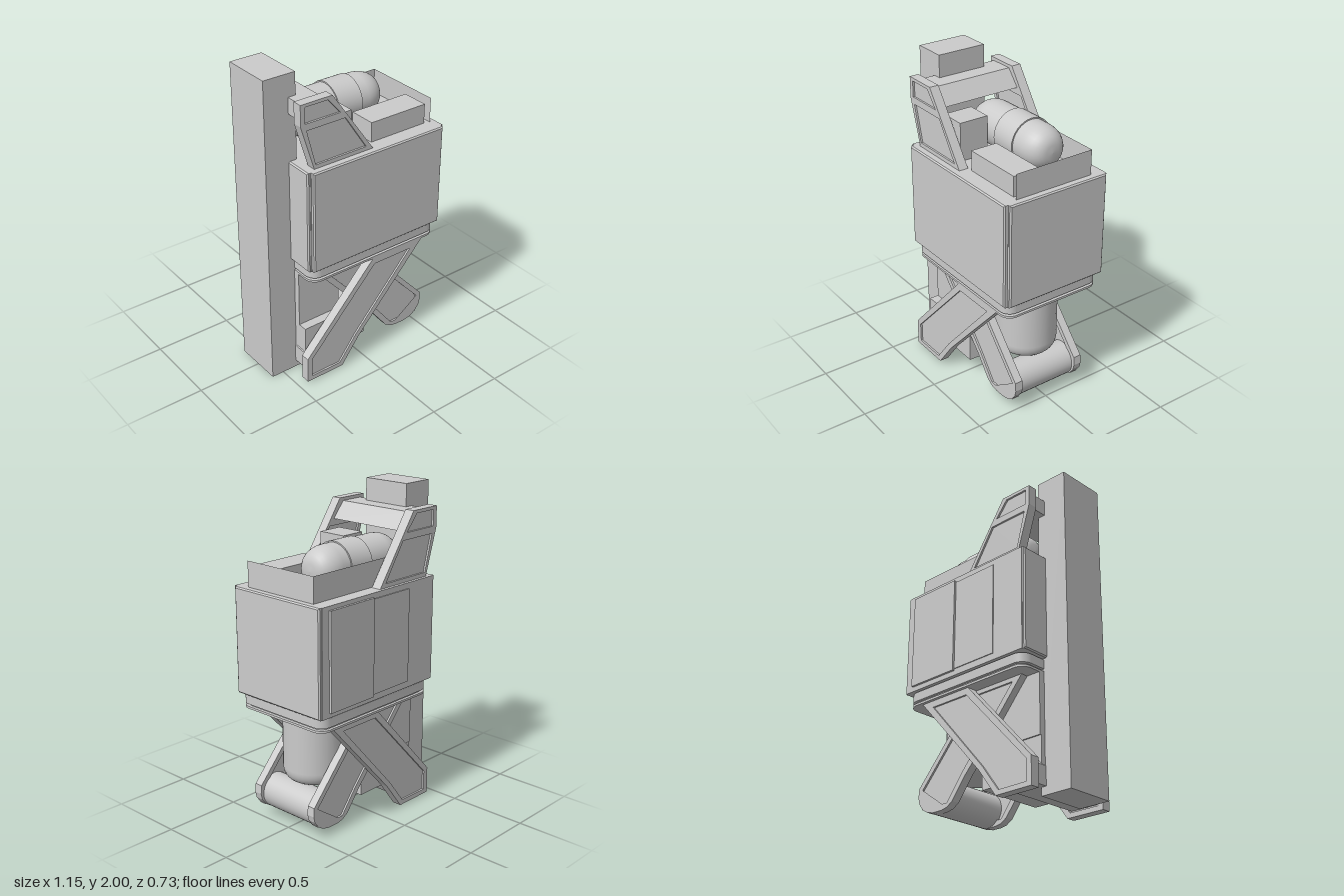
import * as THREE from 'three';
import { toCreasedNormals } from 'three/addons/utils/BufferGeometryUtils.js';

const grey = new THREE.MeshStandardMaterial({ color: 0xcccccc });
const thin = new THREE.MeshStandardMaterial({ color: 0xcccccc, side: THREE.DoubleSide });
const points = (list) => list.map(([x, y]) => new THREE.Vector2(x, y));

export function createModel() {
  const model = new THREE.Group();
  model.name = 'machineUnit';

  const add = (name, geometry, material = grey) => {
    const mesh = new THREE.Mesh(geometry, material);
    mesh.name = name;
    model.add(mesh);
    return mesh;
  };

  // Box given by its limits on each axis
  const box = (name, [x0, x1], [y0, y1], [z0, z1]) => {
    const mesh = add(name, new THREE.BoxGeometry(x1 - x0, y1 - y0, z1 - z0));
    mesh.position.set((x0 + x1) / 2, (y0 + y1) / 2, (z0 + z1) / 2);
    return mesh;
  };

  // Outline in x and y, extruded between two z values
  const slab = (name, outline, z0, z1, holes = []) => {
    const shape = new THREE.Shape(points(outline));
    holes.forEach((h) => shape.holes.push(new THREE.Path(points(h))));
    const geometry = new THREE.ExtrudeGeometry(shape, { depth: z1 - z0, bevelEnabled: false });
    geometry.translate(0, 0, z0);
    return add(name, geometry);
  };

  // Plate with a raised rim around sunken panels
  const framedPlate = (name, outline, panels, z0, z1) => {
    slab(name + 'Rim', outline, z0, z1, panels);
    panels.forEach((p) => slab(name + 'Panel', p, z0 + 0.012, z1 - 0.012));
  };

  // Horizontal layer with rounded corners
  const layer = (name, [x0, x1], [y0, y1], [z0, z1], r) => {
    const s = new THREE.Shape();
    s.absarc(x1 - r, z1 - r, r, 0, Math.PI / 2);
    s.absarc(x0 + r, z1 - r, r, Math.PI / 2, Math.PI);
    s.absarc(x0 + r, z0 + r, r, Math.PI, Math.PI * 1.5);
    s.absarc(x1 - r, z0 + r, r, Math.PI * 1.5, Math.PI * 2);
    const g = new THREE.ExtrudeGeometry(s, { depth: y1 - y0, bevelEnabled: false, curveSegments: 5 });
    g.rotateX(Math.PI / 2).translate(0, y1, 0);
    add(name, toCreasedNormals(g, 0.6));
  };

  // Cabinet panel with chamfered edges on its outer face, built facing +z
  const panel = (name, width, height, depth) => {
    const c = 0.008;
    const w = width / 2 - c, h = height / 2 - c;
    const shape = new THREE.Shape(points([[-w, -h], [w, -h], [w, h], [-w, h]]));
    return add(name, new THREE.ExtrudeGeometry(shape, {
      depth: depth - c, bevelThickness: c, bevelSize: c, bevelSegments: 1,
    }));
  };

  // Support post
  box('post', [-0.58, -0.37], [0, 2], [-0.16, 0.16]);

  // Cabinet and its outer panels
  box('cabinetBody', [-0.405, 0.555], [0.81, 1.465], [-0.35, 0.337]);
  panel('frontPanel', 0.952, 0.655, 0.024).position.set(0.077, 1.1375, 0.337);
  const rightPanel = panel('sidePanel', 0.68, 0.655, 0.022);
  rightPanel.rotation.y = Math.PI / 2;
  rightPanel.position.set(0.553, 1.1375, -0.005);
  const leftPanel = panel('sidePanel', 0.68, 0.655, 0.02);
  leftPanel.rotation.y = -Math.PI / 2;
  leftPanel.position.set(-0.403, 1.1375, -0.005);
  box('backDoor', [0.14, 0.5], [0.84, 1.44], [-0.365, -0.34]);
  box('backDoorSlider', [-0.18, 0.135], [0.85, 1.43], [-0.356, -0.34]);

  // Stepped base under the cabinet
  layer('baseNeck', [-0.385, 0.53], [0.79, 0.815], [-0.32, 0.32], 0.06);
  layer('baseTray', [-0.4, 0.55], [0.745, 0.802], [-0.338, 0.338], 0.07);
  layer('baseGap', [-0.38, 0.53], [0.728, 0.746], [-0.32, 0.32], 0.06);
  layer('baseFlange', [-0.4, 0.55], [0.716, 0.73], [-0.338, 0.338], 0.07);

  // Upper brackets with a crossbar
  const bracket = [[-0.36, 1.46], [0.058, 1.46], [-0.235, 1.88], [-0.45, 1.88], [-0.45, 1.75]];
  const bracketTop = [[-0.42, 1.76], [-0.18, 1.76], [-0.265, 1.86], [-0.42, 1.86]];
  const bracketLow = [[-0.35, 1.49], [0.005, 1.49], [-0.145, 1.717], [-0.41, 1.717]];
  framedPlate('frontBracket', bracket, [bracketTop, bracketLow], 0.255, 0.315);
  framedPlate('backBracket', bracket, [bracketTop, bracketLow], -0.33, -0.268);
  slab('bracketCrossbar', bracketTop, -0.275, 0.262);

  // Round-ended tank lying on the roof
  const dome = (r, straight, length, n = 8) => Array.from({ length: n + 1 }, (_, i) => {
    const a = (i / n) * Math.PI / 2;
    return [i === n ? 0 : r * Math.cos(a) ** 0.7, straight + length * Math.sin(a)];
  });
  const left = dome(0.137, 0.15, 0.14).map(([r, x]) => [r, -x]).reverse();
  const lying = new THREE.LatheGeometry(points([...left, ...dome(0.137, 0.25, 0.14)]), 32);
  const roofTank = add('roofTank', lying);
  const band = add('roofTankBand', toCreasedNormals(new THREE.CylinderGeometry(0.145, 0.145, 0.172, 32), 0.6));
  [[roofTank, 0], [band, 0.106]].forEach(([mesh, x]) => {
    mesh.rotation.z = -Math.PI / 2;
    mesh.position.set(x, 1.592, -0.096);
  });

  // Roof boxes and thin corner walls
  box('roofLowBox', [0.09, 0.493], [1.46, 1.59], [0.08, 0.255]);
  box('roofTallBox', [-0.21, -0.043], [1.46, 1.705], [0.048, 0.238]);
  const backWall = add('roofBackWall', new THREE.PlaneGeometry(0.68, 0.16), thin);
  backWall.rotation.y = Math.PI;
  backWall.position.set(0.19, 1.542, -0.262);
  const sideWall = add('roofSideWall', new THREE.PlaneGeometry(0.527, 0.16), thin);
  sideWall.rotation.y = Math.PI / 2;
  sideWall.position.set(0.53, 1.542, 0.0015);

  // Outer slanted legs with a low crossbar
  const leg = [[-0.44, 0.01], [-0.175, 0.01], [-0.045, 0.185], [0.445, 0.72], [0.058, 0.72], [-0.44, 0.18]];
  const legPanel = [[-0.405, 0.04], [-0.195, 0.04], [-0.07, 0.205], [0.35, 0.675], [0.07, 0.675], [-0.405, 0.168]];
  framedPlate('frontOuterLeg', leg, [legPanel], 0.28, 0.338);
  framedPlate('backOuterLeg', leg, [legPanel], -0.318, -0.26);
  slab('legCrossbar', [[-0.405, 0.05], [-0.2, 0.05], [-0.09, 0.205], [-0.37, 0.205], [-0.405, 0.165]], -0.27, 0.29);

  // Inner legs crossing the other way, with rounded feet
  const innerLeg = [[-0.31, 0.72], [0.055, 0.305], [0.135, 0.22], [0.24, 0.085], [0.285, 0.058], [0.33, 0.049],
    [0.4, 0.049], [0.45, 0.06], [0.49, 0.085], [0.52, 0.125], [0.53, 0.165], [0.525, 0.22], [0.07, 0.72]];
  const innerPanel = [[-0.235, 0.69], [0.165, 0.24], [0.285, 0.085], [0.495, 0.085], [0.495, 0.205], [0.055, 0.69]];
  framedPlate('frontInnerLeg', innerLeg, [innerPanel], 0.203, 0.255);
  framedPlate('backInnerLeg', innerLeg, [innerPanel], -0.247, -0.195);

  // Roller between the rounded feet
  const roller = add('footRoller', toCreasedNormals(new THREE.CylinderGeometry(0.108, 0.108, 0.42, 32), 0.6));
  roller.rotation.x = Math.PI / 2;
  roller.position.set(0.4, 0.157, 0.005);

  // Hanging tank with a rounded bottom
  const hanging = [...dome(0.09, 0, 0.09).map(([r, y]) => [r + 0.1, 0.36 - y]).reverse(), [0.19, 0.73]];
  const tank = add('hangingTank', new THREE.LatheGeometry(points([[0, 0.27], ...hanging]), 32));
  tank.position.set(0.278, 0, -0.008);

  // Boxes beside the post
  box('upperPostBox', [-0.4, -0.1], [0.34, 0.72], [-0.2, 0.2]);
  box('lowerPostBox', [-0.4, 0.055], [0.12, 0.345], [-0.19, 0.26]);

  return model;
}
